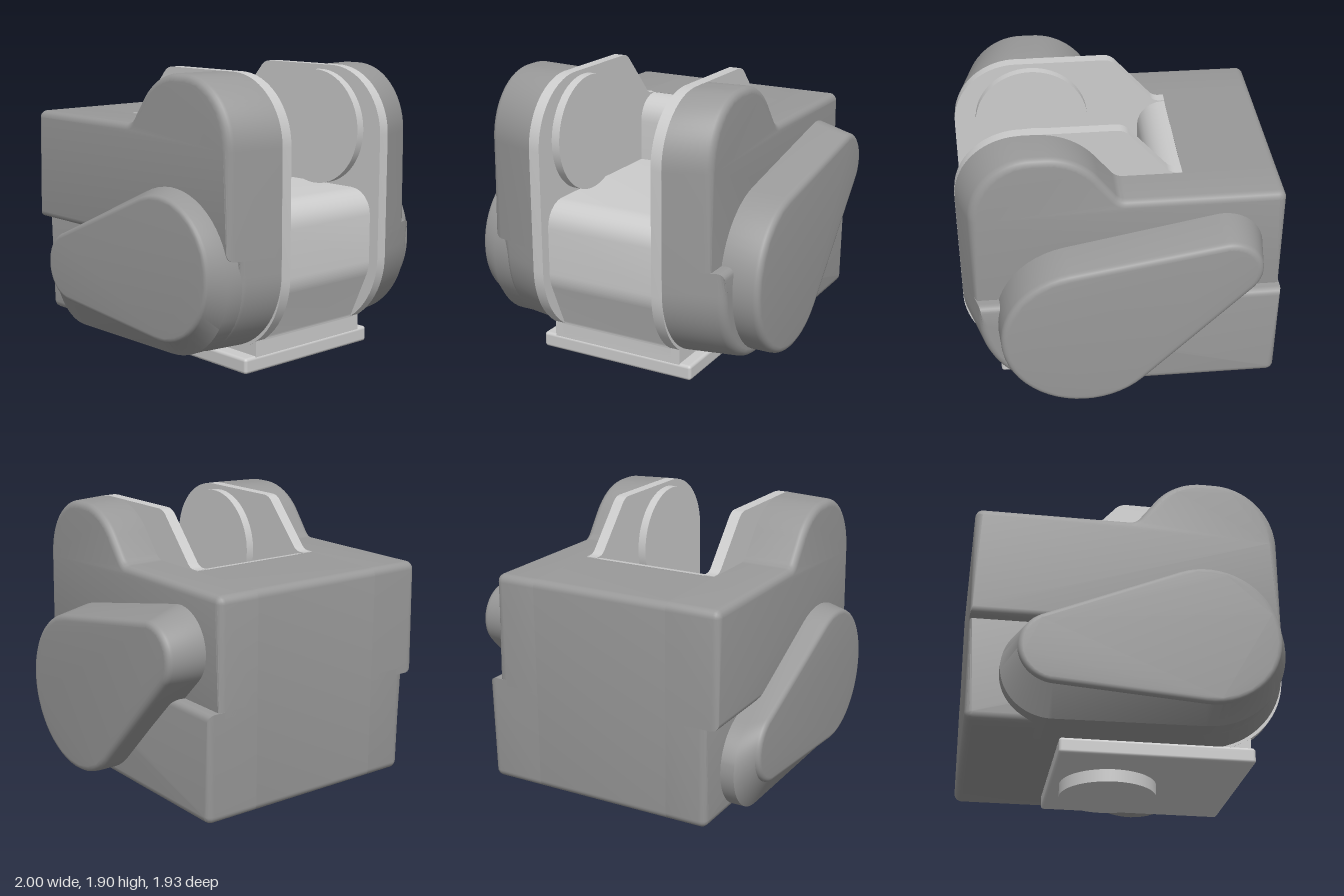
import * as THREE from 'three';
import { toCreasedNormals } from 'three/addons/utils/BufferGeometryUtils.js';
import { RoundedBoxGeometry } from 'three/addons/geometries/RoundedBoxGeometry.js';

const light = new THREE.MeshStandardMaterial({ color: 0xcccccc });
const dark = new THREE.MeshStandardMaterial({ color: 0x999999 });
const V = (x, y) => new THREE.Vector2(x, y);

// Counter-clockwise polygon of [x, y, radius] corners, each corner filleted
function roundedPolygon(corners) {
  const out = [];
  corners.forEach(([x, y, r], i) => {
    const p = V(x, y), n = corners.length;
    if (!r) return out.push(p);
    const [ax, ay] = corners[(i + n - 1) % n], [bx, by] = corners[(i + 1) % n];
    const u = V(ax, ay).sub(p).normalize(), v = V(bx, by).sub(p).normalize();
    const half = Math.acos(u.dot(v)) / 2;
    const centre = u.clone().add(v).normalize().multiplyScalar(r / Math.sin(half)).add(p);
    const start = u.multiplyScalar(r / Math.tan(half)).add(p).sub(centre);
    const end = v.multiplyScalar(r / Math.tan(half)).add(p).sub(centre);
    const sweep = Math.atan2(start.cross(end), start.dot(end));
    const steps = r > 0.2 ? 20 : 6;
    for (let k = 0; k <= steps; k++) {
      out.push(start.clone().rotateAround(V(0, 0), sweep * k / steps).add(centre));
    }
  });
  return out;
}

// Outline around a big circle and a small circle lying to its left
function teardrop(bx, by, br, sx, sy, sr) {
  const axis = Math.atan2(sy - by, sx - bx);
  const a = Math.acos((br - sr) / Math.hypot(sx - bx, sy - by));
  const pts = [], n = 32;
  const arc = (x, y, r, from, to) => {
    for (let k = 0; k <= n; k++) {
      const t = from + (to - from) * k / n;
      pts.push(V(x + r * Math.cos(t), y + r * Math.sin(t)));
    }
  };
  arc(bx, by, br, axis + a, axis + 2 * Math.PI - a);
  arc(sx, sy, sr, axis - a, axis + a);
  return pts;
}

// Moves every outline point inwards
function inset(pts, d) {
  return pts.map((p, i) => {
    const n = pts.length;
    const t = pts[(i + 1) % n].clone().sub(pts[(i + n - 1) % n]).normalize();
    return V(p.x - t.y * d, p.y + t.x * d);
  });
}

// Solid through outlines [{ z, pts }] with equal point counts
function loft(sections) {
  const s = [...sections].sort((a, b) => a.z - b.z);
  const n = s[0].pts.length, last = (s.length - 1) * n;
  const pos = s.flatMap(({ z, pts }) => pts.flatMap(p => [p.x, p.y, z]));
  const index = [];
  for (let k = 0; k < s.length - 1; k++) {
    for (let i = 0; i < n; i++) {
      const j = (i + 1) % n, a = k * n + i, b = k * n + j;
      index.push(a, b, b + n, a, b + n, a + n);
    }
  }
  for (const [a, b, c] of THREE.ShapeUtils.triangulateShape(s[0].pts, [])) index.push(c, b, a);
  for (const [a, b, c] of THREE.ShapeUtils.triangulateShape(s[s.length - 1].pts, [])) {
    index.push(last + a, last + b, last + c);
  }
  const geo = new THREE.BufferGeometry();
  geo.setAttribute('position', new THREE.Float32BufferAttribute(pos, 3));
  geo.setIndex(index);
  return toCreasedNormals(geo, 0.6);
}

// Rounds off the outer end of a loft: quarter-circle run of inset outlines
function roundedEnd(pts, z, r) {
  const dir = Math.sign(z);
  return [0, 1, 2, 3, 4].map(k => {
    const a = k / 4 * Math.PI / 2;
    return { z: z - dir * r * (1 - Math.sin(a)), pts: inset(pts, r * (1 - Math.cos(a))) };
  });
}

export function createModel() {
  const model = new THREE.Group();
  const add = (name, geo, material, x = 0, y = 0, z = 0) => {
    const mesh = new THREE.Mesh(geo, material);
    mesh.name = name;
    mesh.position.set(x, y, z);
    model.add(mesh);
    return mesh;
  };
  const prism = (pts, z0, z1) => loft([{ z: z0, pts }, { z: z1, pts }]);

  // Housing sides: upper with a hump, lower with a rounded front corner
  const upper = roundedPolygon([[-1, 0.84, 0], [1, 0.84, 0], [1, 1.9, 0.42],
    [0.28, 1.9, 0.45], [0.01, 1.57, 0.09], [-1, 1.57, 0.05]]);
  const lower = roundedPolygon([[-1, 0.19, 0.05], [1, 0.19, 0.55], [1, 0.88, 0], [-1, 0.88, 0]]);
  const sides = [
    { side: 'front', inner: 0.48, outer: 0.83, step: 0.75 },
    { side: 'back', inner: -0.44, outer: -0.72, step: -0.8 },
  ];
  for (const { side, inner, outer, step } of sides) {
    const shell = (pts, z) => {
      // The open end narrows towards the outer face
      const sections = [{ z: inner, pts }, ...roundedEnd(pts, z, 0.045)].map(s => {
        const t = (s.z - inner) / (outer - inner);
        return { z: s.z, pts: s.pts.map(p => V(p.x > 0 ? p.x * (1 - 0.09 * t) : p.x, p.y)) };
      });
      return loft(sections);
    };
    add(side + 'UpperHousing', shell(upper, outer), dark);
    add(side + 'LowerHousing', shell(lower, step), dark);
  }

  // Solid rear block joining both sides
  add('rearBlock', prism(roundedPolygon([[-1, 0.19, 0.05], [-0.4, 0.19, 0],
    [-0.4, 1.57, 0], [-1, 1.57, 0.05]]), -0.44, 0.48), dark);

  // Teardrop pods, each with a sloping rim
  const frontBase = teardrop(0.41, 0.705, 0.515, -0.5, 0.49, 0.31);
  const frontFace = teardrop(0.43, 0.74, 0.45, -0.49, 0.59, 0.23);
  add('frontPod', loft([{ z: 0.5, pts: frontBase }, { z: 0.84, pts: frontBase },
    ...roundedEnd(frontFace, 0.965, 0.03)]), dark);
  const backBase = teardrop(0.25, 0.73, 0.54, -0.62, 1.2, 0.25);
  const backFace = teardrop(0.25, 0.71, 0.52, -0.63, 1.18, 0.21);
  add('backPod', loft([{ z: -0.5, pts: backBase }, { z: -0.72, pts: backBase },
    ...roundedEnd(backFace, -0.965, 0.04)]), dark);

  // Thin cheek plates and their raised discs inside the opening
  const cheek = roundedPolygon([[-0.4, 0.18, 0], [1, 0.18, 0.52], [1, 1.9, 0.42],
    [-0.04, 1.9, 0.1], [-0.33, 1.575, 0.08], [-0.4, 1.575, 0]]);
  add('frontCheek', prism(cheek, 0.41, 0.482), light);
  add('backCheek', prism(cheek, -0.442, -0.37), light);
  const disc = new THREE.CylinderGeometry(0.37, 0.37, 0.06, 64).rotateX(Math.PI / 2);
  add('frontDisc', disc, light, 0.49, 1.5, 0.385);
  add('backDisc', disc, light, 0.49, 1.5, -0.345);

  // Stepped core between the cheeks
  add('core', prism(roundedPolygon([[-0.41, 0.17, 0], [0.78, 0.17, 0], [0.78, 0.28, 0.06],
    [0.93, 0.62, 0.25], [0.93, 1.13, 0.16], [-0.22, 1.13, 0], [-0.22, 1.568, 0.17],
    [-0.41, 1.568, 0]]), -0.38, 0.42), light);

  // Foot plate, its neck and the round button below
  add('footPlate', new RoundedBoxGeometry(1.21, 0.1, 1.09, 3, 0.02), light, 0.18, 0.13, 0.025);
  add('footNeck', new THREE.BoxGeometry(1.14, 0.12, 0.92), light, 0.21, 0.22, 0.02);
  add('button', new THREE.CylinderGeometry(0.31, 0.31, 0.1, 64), light, -0.05, 0.05, 0.02);

  return model;
}
